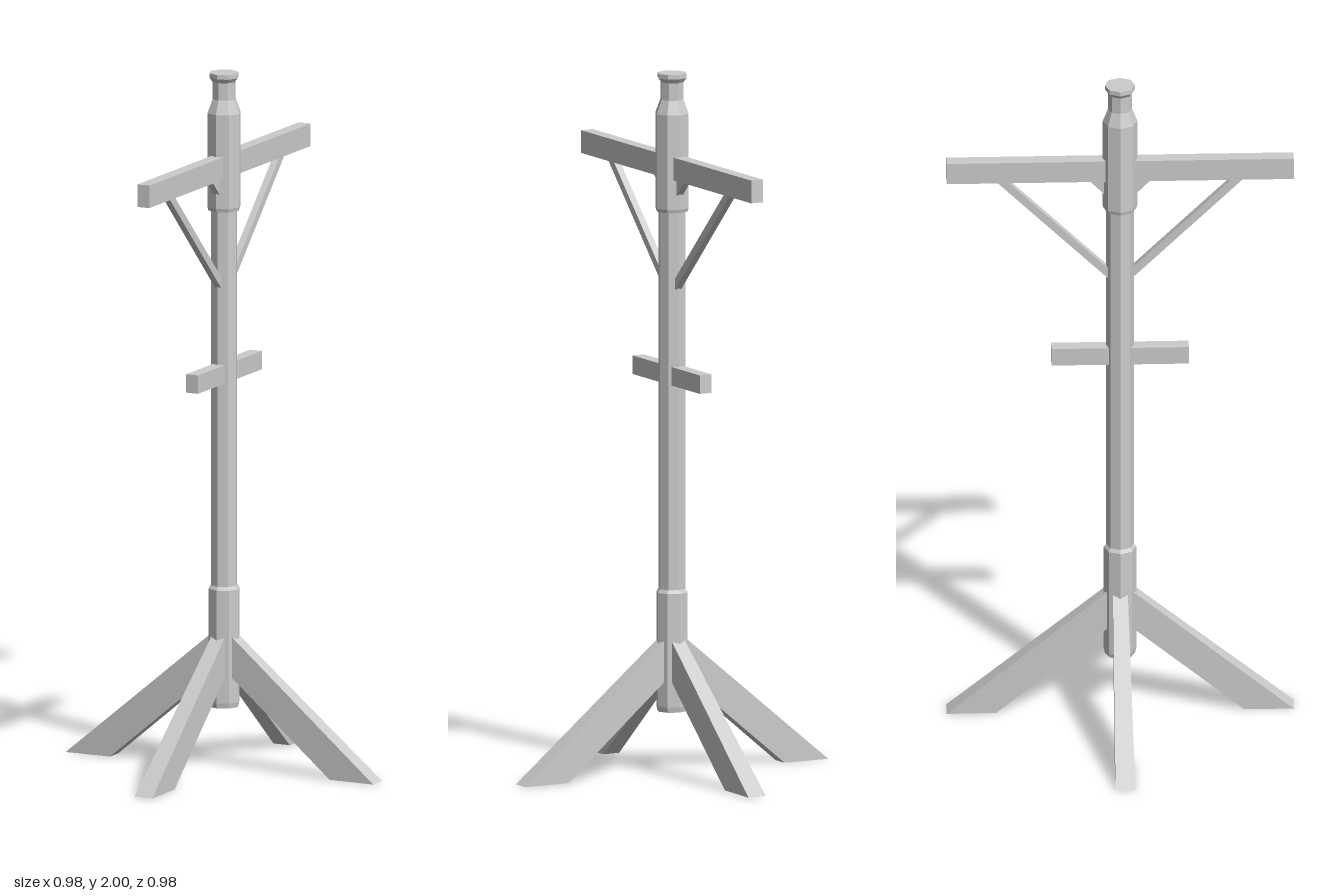
import * as THREE from 'three';

const material = new THREE.MeshStandardMaterial({ color: 0xcccccc, flatShading: true });

function addMesh(parent, name, geometry) {
  const mesh = new THREE.Mesh(geometry, material);
  mesh.name = name;
  parent.add(mesh);
  return mesh;
}

// Eight-sided turned part from [radius, height] pairs, bottom to top
function turned(profile) {
  return new THREE.LatheGeometry(profile.map(([r, y]) => new THREE.Vector2(r, y)), 8);
}

// Flat outline of [distance from axis, height] pairs with a thickness centred on z = 0
function plank(outline, thickness) {
  const shape = new THREE.Shape(outline.map(([x, y]) => new THREE.Vector2(x, y)));
  const geometry = new THREE.ExtrudeGeometry(shape, { depth: thickness, bevelEnabled: false });
  return geometry.translate(0, 0, -thickness / 2);
}

// Leg that widens gently from the post to the foot
function legGeometry() {
  const geometry = plank([[0.03, 0.268], [0.35, 0], [0.49, 0], [0.03, 0.385]], 1);
  const pos = geometry.attributes.position;
  for (let i = 0; i < pos.count; i++) {
    const t = (pos.getX(i) - 0.03) / 0.46;
    pos.setZ(i, pos.getZ(i) * THREE.MathUtils.lerp(0.042, 0.056, t));
  }
  geometry.computeVertexNormals();
  return geometry;
}

export function createModel() {
  const model = new THREE.Group();
  model.name = 'postStand';

  // Upright with its lower and upper sleeves
  addMesh(model, 'post', turned([[0, 0.5], [0.039, 0.5], [0.039, 1.63], [0, 1.63]]));
  addMesh(model, 'lowerSleeve', turned([
    [0, 0.175], [0.043, 0.175], [0.046, 0.19], [0.046, 0.515], [0.039, 0.525], [0, 0.525]]));
  addMesh(model, 'upperSleeve', turned([
    [0, 1.605], [0.046, 1.605], [0.049, 1.615], [0.049, 1.885], [0.034, 1.925],
    [0.034, 1.975], [0.043, 1.987], [0.043, 2], [0, 2]]));

  // Cross bars running front to back
  addMesh(model, 'upperBar', new THREE.BoxGeometry(0.038, 0.065, 0.98)).position.y = 1.7325;
  addMesh(model, 'lowerBar', new THREE.BoxGeometry(0.038, 0.053, 0.388)).position.y = 1.1375;

  // Diagonal braces and small gussets under the upper bar
  for (const side of [1, -1]) {
    const support = new THREE.Group();
    support.name = side > 0 ? 'frontSupport' : 'backSupport';
    support.rotation.y = -side * Math.PI / 2;
    model.add(support);
    addMesh(support, 'brace', plank([[0.03, 1.38], [0.352, 1.702], [0.32, 1.702], [0.03, 1.412]], 0.02));
    addMesh(support, 'gusset', plank([[0.03, 1.64], [0.09, 1.702], [0.03, 1.702]], 0.02));
  }

  // Four splayed legs
  const leg = legGeometry();
  ['leftLeg', 'backLeg', 'rightLeg', 'frontLeg'].forEach((name, i) => {
    addMesh(model, name, leg).rotation.y = i * Math.PI / 2;
  });

  return model;
}
